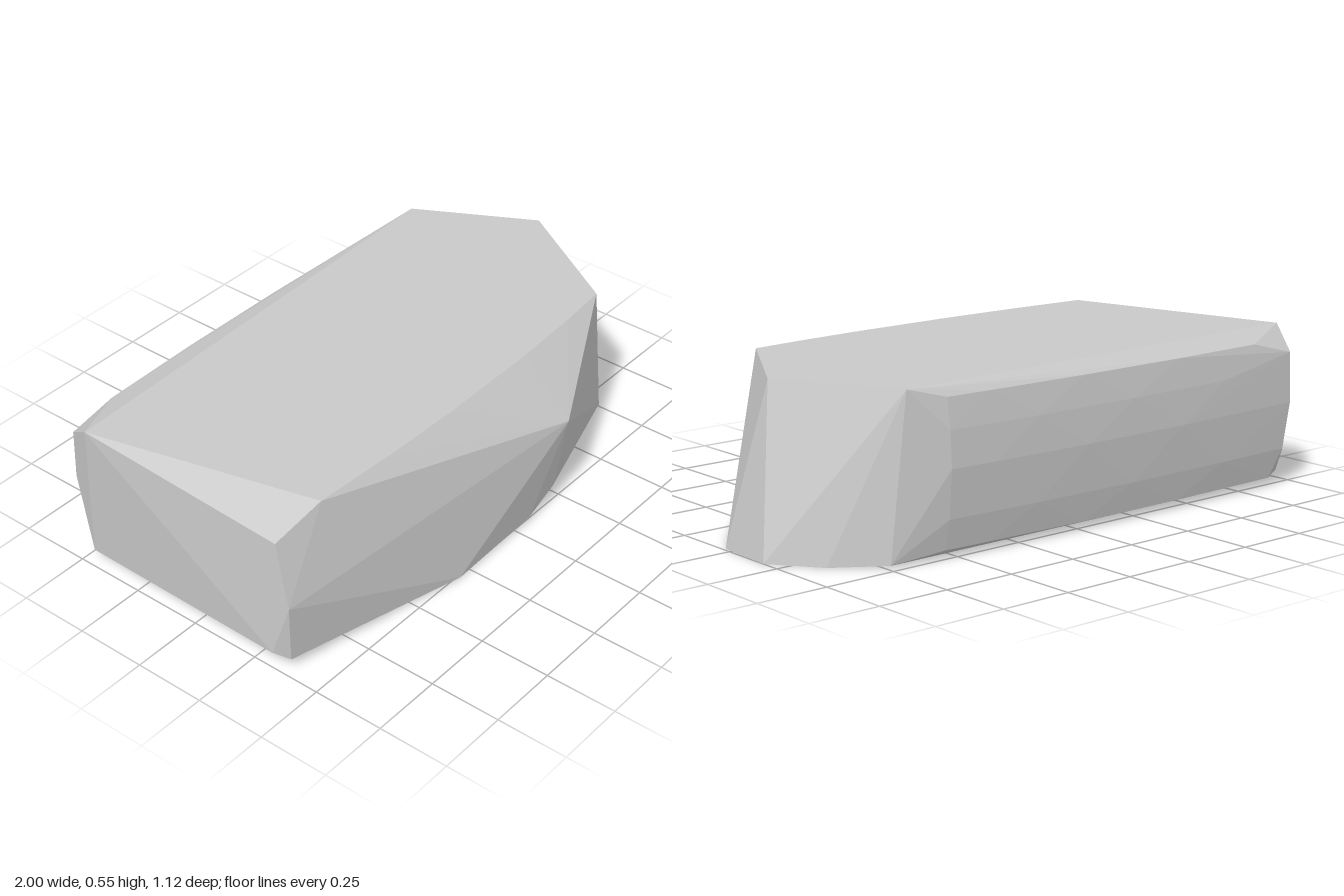
import * as THREE from 'three';
import { ConvexGeometry } from 'three/addons/geometries/ConvexGeometry.js';

export function createModel() {
  const group = new THREE.Group();
  group.name = 'rock';
  const stone = new THREE.MeshStandardMaterial({ color: 0xc8c8c8 });
  stone.name = 'stone grey';

  // Flat top outline
  const top = [
    [-1, -0.43], [-0.8, 0.362], [-0.5, 0.378], [-0.2, 0.385],
    [0.2, 0.38], [0.45, 0.367], [0.64, 0.35], [0.9, -0.08], [0.68, -0.48],
  ].map(([x, z]) => [x, 0.545, z]);

  // Base outline, lifting slightly toward the blunt end
  const base = [
    [-0.3, 0, 0.51], [0.07, 0.02, 0.512], [0.2, 0.07, 0.51], [0.76, 0, 0.31],
    [0.89, 0, 0.165], [0.99, 0, 0.035], [1, 0, -0.18], [0.88, 0, -0.34],
    [0.74, 0.01, -0.475], [-0.97, 0.035, -0.47], [-0.97, 0.04, 0.375],
  ];

  // Chipped front peak and corners of the blunt end
  const chips = [
    [0.2, 0.36, 0.56], [-0.98, 0.48, 0.335], [-0.99, 0.26, 0.39],
    [-1, 0.06, 0.325], [-0.95, 0.465, -0.54],
  ];

  // Softly bulging back, in rows of staggered facets: [height, end x]
  const back = [];
  const rows = [[0.03, -0.88], [0.13, -0.93], [0.29, -0.95], [0.41, -0.95], [0.51, -0.78]];
  rows.forEach(([y, end], row) => {
    const inner = row % 2 ? [-0.62, -0.2, 0.2] : [-0.42, 0, 0.38];
    for (const x of [end, ...inner, 0.55]) {
      const v = (y - 0.29) / 0.26;
      back.push([x, y, -0.56 + 0.035 * (x + 0.3) ** 2 + 0.03 * v * v]);
    }
  });

  const points = [...top, ...base, ...chips, ...back].map((p) => new THREE.Vector3(...p));
  const body = new THREE.Mesh(new ConvexGeometry(points), stone);
  body.name = 'rockBody';
  group.add(body);
  return group;
}
